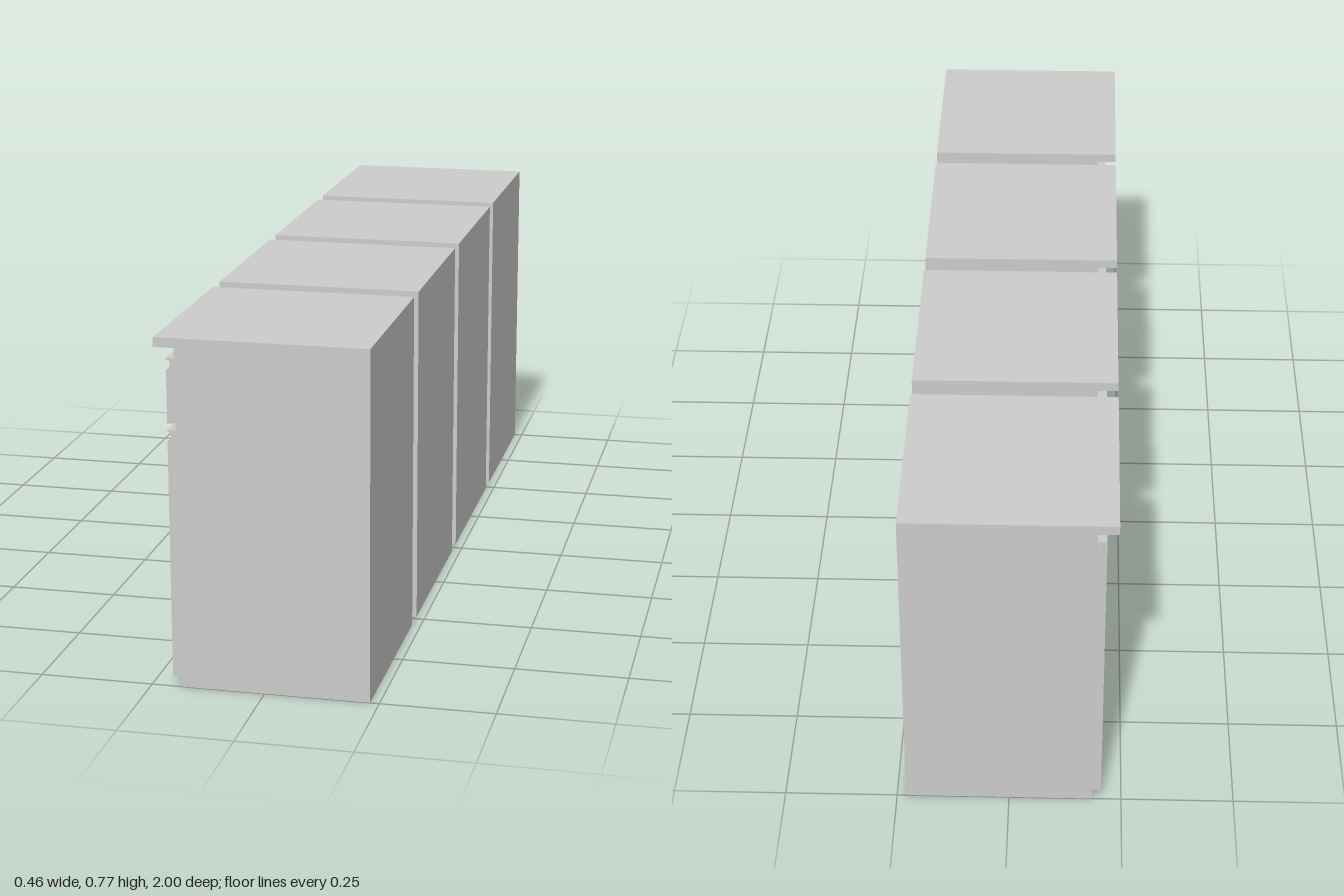
import * as THREE from 'three';

const material = new THREE.MeshStandardMaterial({ color: 0xcccccc, flatShading: true });

const WIDTH = 0.46, PITCH = 0.5133;
const BACK = 0.23, CARCASS_FRONT = -0.185, PANEL_FRONT = -0.205;
const HEIGHT = 0.773, TOP_UNDERSIDE = 0.752;
const PANEL_LOW = 0.02, PANEL_HIGH = 0.728;
const INSET = 0.007, DOOR_GAP = 0.004, ROW_GAP = 0.014;

function box(name, x0, x1, y0, y1) {
  const mesh = new THREE.Mesh(new THREE.BoxGeometry(x1 - x0, y1 - y0, WIDTH), material);
  mesh.position.set((x0 + x1) / 2, (y0 + y1) / 2, 0);
  mesh.name = name;
  return mesh;
}

// Door or drawer front: side profile with a finger groove under a thin top lip
function panel(name, y0, y1, z0, z1) {
  const groove = PANEL_FRONT + 0.008;
  const profile = new THREE.Shape([
    [CARCASS_FRONT, y0], [CARCASS_FRONT, y1], [PANEL_FRONT, y1], [PANEL_FRONT, y1 - 0.004],
    [groove + 0.001 - 0.002, y1 - 0.005], [groove, y1 - 0.007], [groove, y1 - 0.019],
    [groove - 0.002, y1 - 0.022], [PANEL_FRONT, y1 - 0.026], [PANEL_FRONT, y0],
  ].map(([x, y]) => new THREE.Vector2(x, y)));
  const geometry = new THREE.ExtrudeGeometry(profile, { depth: z1 - z0, bevelEnabled: false });
  const mesh = new THREE.Mesh(geometry, material);
  mesh.position.z = z0;
  mesh.name = name;
  return mesh;
}

// One row of equal panels side by side
function addRow(group, name, y0, y1, count) {
  const half = WIDTH / 2 - INSET;
  const w = (2 * half - (count - 1) * DOOR_GAP) / count;
  for (let i = 0; i < count; i++) {
    const z0 = -half + i * (w + DOOR_GAP);
    group.add(panel(name, y0, y1, z0, z0 + w));
  }
}

function cabinet(name, z) {
  const group = new THREE.Group();
  group.name = name;
  group.position.z = z;
  group.add(box('carcass', CARCASS_FRONT, BACK, 0, TOP_UNDERSIDE));
  group.add(box('worktop', -BACK, BACK, TOP_UNDERSIDE, HEIGHT));
  return group;
}

export function createModel() {
  const model = new THREE.Group();
  model.name = 'kitchenBaseCabinets';

  const doubleDoor = cabinet('doubleDoorCabinet', -1.5 * PITCH);
  addRow(doubleDoor, 'door', PANEL_LOW, PANEL_HIGH, 2);

  const singleDoor = cabinet('singleDoorCabinet', -0.5 * PITCH);
  addRow(singleDoor, 'door', PANEL_LOW, PANEL_HIGH, 1);

  // Three equal drawers
  const drawers = cabinet('drawerCabinet', 0.5 * PITCH);
  const h = (PANEL_HIGH - PANEL_LOW - 2 * ROW_GAP) / 3;
  for (let i = 0; i < 3; i++) {
    const y0 = PANEL_LOW + i * (h + ROW_GAP);
    addRow(drawers, 'drawerFront', y0, y0 + h, 1);
  }

  // One drawer above two doors
  const mixed = cabinet('drawerAndDoorCabinet', 1.5 * PITCH);
  addRow(mixed, 'drawerFront', 0.587, PANEL_HIGH, 1);
  addRow(mixed, 'door', PANEL_LOW, 0.573, 2);

  model.add(doubleDoor, singleDoor, drawers, mixed);
  return model;
}
